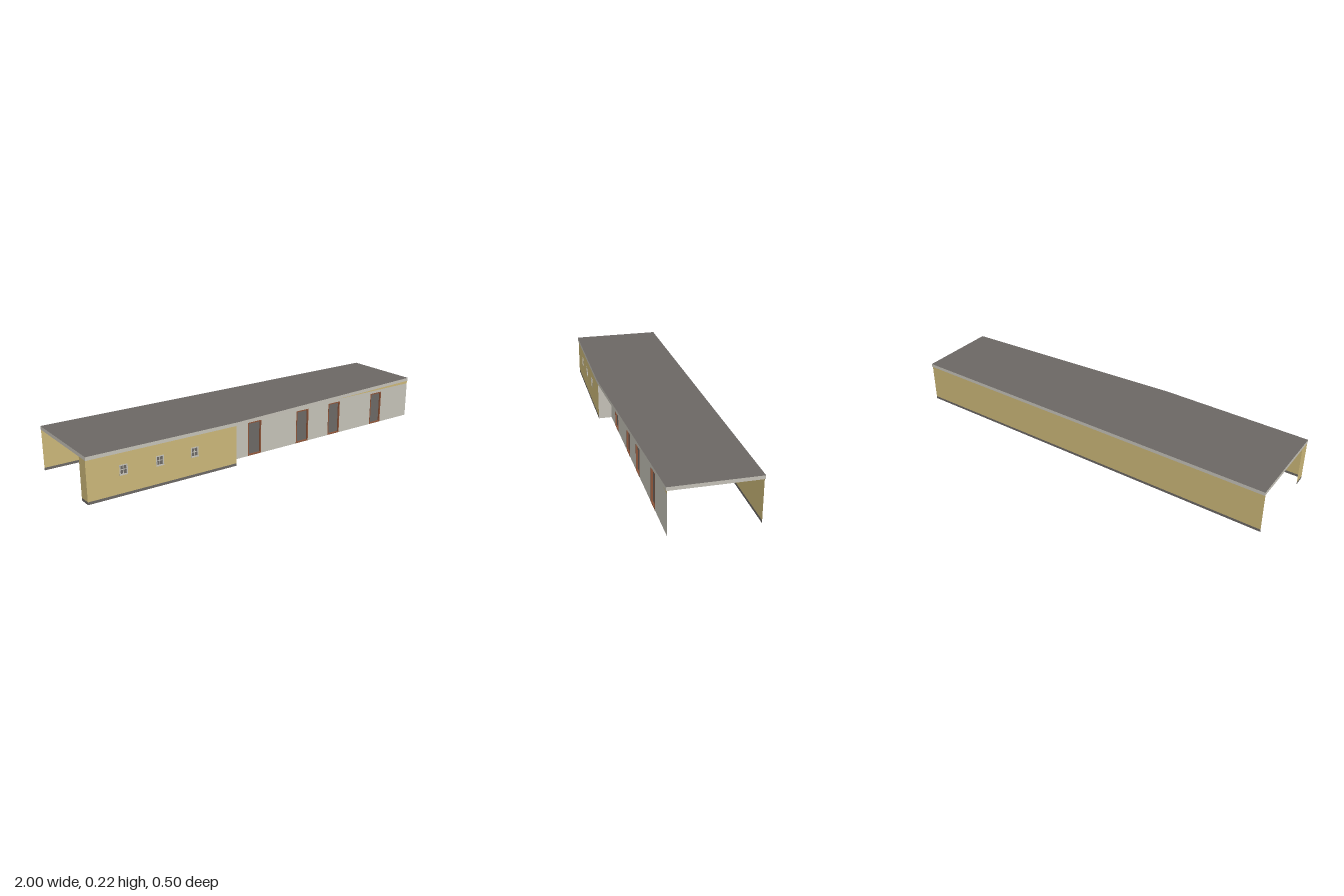
import * as THREE from 'three';

const mat = (name, color) => {
  const m = new THREE.MeshStandardMaterial({ color, side: THREE.DoubleSide });
  m.name = name;
  return m;
};

// rectangle outline, usable as a shape or a hole
const rect = (Type, x0, y0, x1, y1) => {
  const s = new Type();
  s.moveTo(x0, y0);
  s.lineTo(x1, y0);
  s.lineTo(x1, y1);
  s.lineTo(x0, y1);
  s.closePath();
  return s;
};

export function createModel() {
  const ochre = mat('ochre render', 0xc9b577);
  const stone = mat('pale stone', 0xc3c0b6);
  const slate = mat('dark grey', 0x6b6764);
  const brown = mat('brown frame', 0x8c5439);

  const model = new THREE.Group();
  model.name = 'longBuilding';
  const eaves = 0.205, roofTop = 0.222, plinth = 0.013, band = 0.189;

  const add = (parent, name, geo, material) => {
    const m = new THREE.Mesh(geo, material);
    m.name = name;
    parent.add(m);
    return m;
  };

  // wall running from p to q in plan (local x along it, local z outward);
  // layers are [name, bottom, top, material], openings are cut from each layer's sheet
  function wall(name, p, q, layers, openings = []) {
    const g = new THREE.Group();
    g.name = name;
    const dx = q[0] - p[0], dz = q[1] - p[1], len = Math.hypot(dx, dz);
    g.position.set(p[0], 0, p[1]);
    g.rotation.y = Math.atan2(-dz, dx);
    for (const [part, y0, y1, material] of layers) {
      const s = rect(THREE.Shape, 0, y0, len, y1);
      for (const o of openings) {
        if (o.y0 > y0 && o.y1 < y1) s.holes.push(rect(THREE.Path, o.x0, o.y0, o.x1, o.y1));
      }
      add(g, part, new THREE.ShapeGeometry(s), material);
    }
    model.add(g);
    return g;
  }

  // recessed frame with a pane behind it
  function opening(g, name, o, rim, depth, frameMaterial) {
    const s = rect(THREE.Shape, o.x0, o.y0, o.x1, o.y1);
    s.holes.push(rect(THREE.Path, o.x0 + rim, o.y0 + rim, o.x1 - rim, o.y1 - rim));
    const frame = new THREE.ExtrudeGeometry(s, { depth, bevelEnabled: false });
    frame.translate(0, 0, -depth + 0.001);
    add(g, name + 'Frame', frame, frameMaterial);
    const pane = new THREE.BoxGeometry(o.x1 - o.x0 - rim, o.y1 - o.y0 - rim, 0.002);
    pane.translate((o.x0 + o.x1) / 2, (o.y0 + o.y1) / 2, -depth * 0.7);
    add(g, name + 'Pane', pane, slate);
  }

  // roof slab with pale fascia
  const plan = [[-1, -0.25], [1, -0.222], [1, 0.195], [-0.23, 0.25], [-1, 0.235]];
  const roofShape = new THREE.Shape(plan.map(([x, z]) => new THREE.Vector2(x, -z)));
  const roof = new THREE.ExtrudeGeometry(roofShape, { depth: roofTop - eaves, bevelEnabled: false });
  roof.rotateX(-Math.PI / 2);
  roof.translate(0, eaves, 0);
  add(model, 'roof', roof, [slate, stone]);

  const ochreLayers = [['plinth', 0, plinth, slate], ['render', plinth, eaves, ochre]];
  const stoneLayers = [['stonework', 0, band, stone], ['topBand', band, eaves, ochre]];

  // back wall and the short return at the far end
  wall('backWall', [1, -0.217], [-1, -0.245], ochreLayers);
  wall('endReturn', [-1, 0.17], [-1, 0.23], ochreLayers);

  // rendered front wall with three small windows
  const windows = [-0.825, -0.645, -0.463].map((x) => ({ x0: x + 0.98, x1: x + 1.02, y0: 0.098, y1: 0.148 }));
  const front = wall('windowWall', [-1, 0.23], [-0.23, 0.245], ochreLayers, windows);
  for (const o of windows) {
    opening(front, 'window', o, 0.005, 0.008, stone);
    // glazing bars
    const cx = (o.x0 + o.x1) / 2, cy = (o.y0 + o.y1) / 2;
    add(front, 'windowBar', new THREE.BoxGeometry(0.003, 0.045, 0.004), stone).position.set(cx, cy, -0.005);
    add(front, 'windowBar', new THREE.BoxGeometry(0.036, 0.003, 0.004), stone).position.set(cx, cy, -0.005);
  }

  // step back to the stone wall
  wall('stepWall', [-0.23, 0.245], [-0.23, 0.175], stoneLayers);

  // stone front wall with four recessed doors
  const doors = [-0.072, 0.233, 0.45, 0.757].map((x) => ({ x0: x + 0.19, x1: x + 0.27, y0: 0.001, y1: 0.175 }));
  const doorWall = wall('doorWall', [-0.23, 0.175], [1, 0.19], stoneLayers, doors);
  for (const o of doors) opening(doorWall, 'door', o, 0.006, 0.012, brown);

  return model;
}
